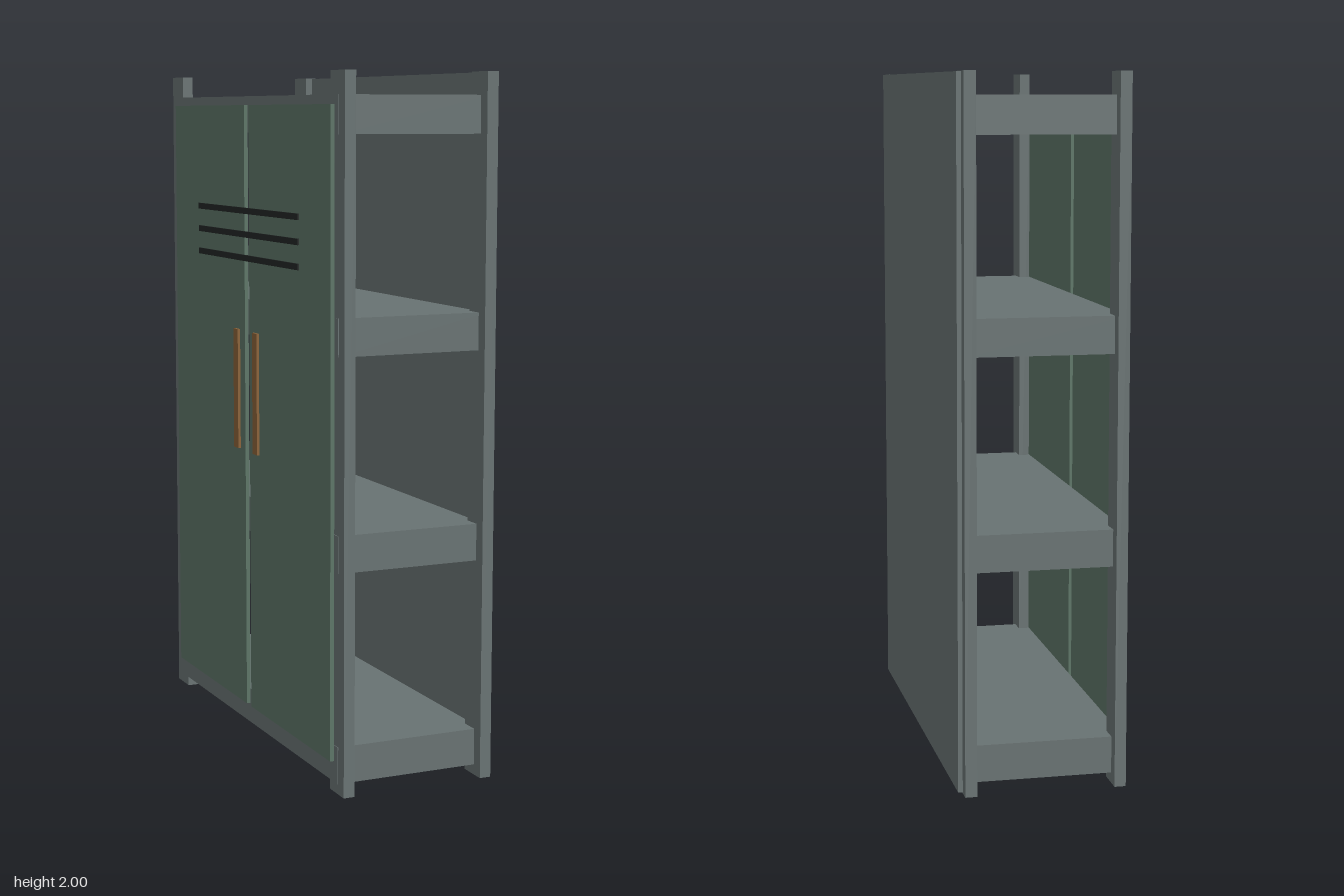
import * as THREE from 'three';

export function createModel() {
  const group = new THREE.Group();
  const paint = (color) => new THREE.MeshStandardMaterial({ color });
  const steel = paint(0x687272);
  const green = paint(0x5c7466);
  const brass = paint(0x8a6238);
  const dark = paint(0x222625);

  // Box given by its minimum and maximum along each axis
  function box(name, material, [x0, x1], [y0, y1], [z0, z1]) {
    const mesh = new THREE.Mesh(new THREE.BoxGeometry(x1 - x0, y1 - y0, z1 - z0), material);
    mesh.position.set((x0 + x1) / 2, (y0 + y1) / 2, (z0 + z1) / 2);
    mesh.name = name;
    group.add(mesh);
  }
  const mirrored = ([a, b], side) => (side > 0 ? [a, b] : [-b, -a]);

  // Closed panel along the +x side
  box('backPanel', steel, [0.222, 0.248], [0.003, 1.998], [-0.628, 0.628]);

  // Thick shelves, slightly proud of the door-side posts
  for (const y of [0.03, 0.63, 1.23, 1.83]) {
    box('shelf', steel, [-0.23, 0.23], [y, y + 0.106], [-0.628, 0.628]);
  }

  for (const side of [-1, 1]) {
    const end = side > 0 ? 'Front' : 'Rear';

    // Corner posts
    const postZ = mirrored([0.573, 0.665], side);
    box('doorPost' + end, steel, [-0.228, -0.195], [0, 2], postZ);
    box('panelPost' + end, steel, [0.201, 0.235], [0, 2], postZ);

    // Door leaf with its pull handle
    box('door' + end, green, [-0.242, -0.23], [0.09, 1.91], mirrored([0.018, 0.604], side));
    box('handle' + end, brass, [-0.25, -0.242], [0.88, 1.243], mirrored([0.057, 0.092], side));
  }

  // Louvre strips across both doors
  for (const y of [1.46, 1.53, 1.6]) {
    box('ventStrip', dark, [-0.247, -0.241], [y - 0.009, y + 0.009], [-0.39, 0.39]);
  }

  return group;
}
